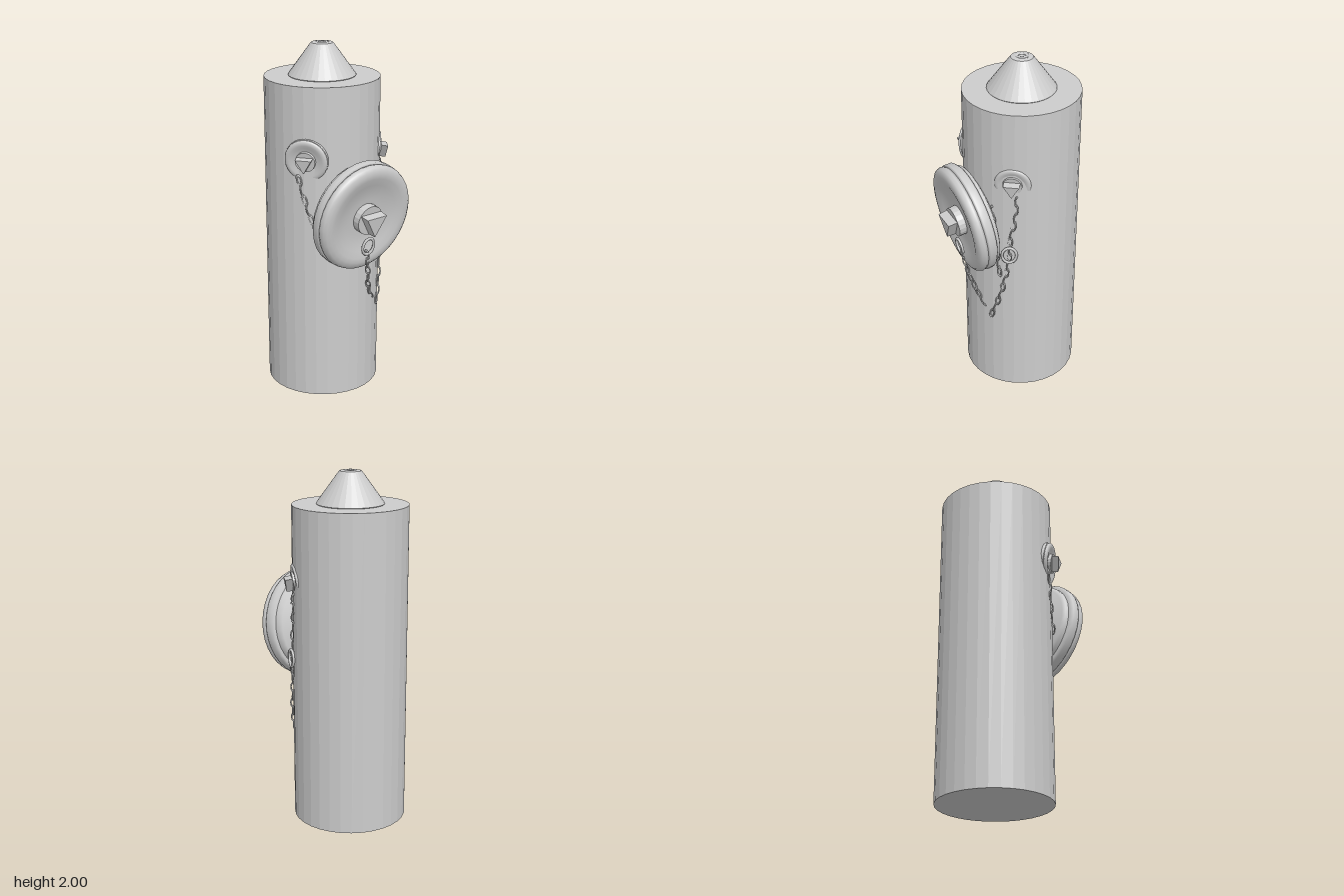
import * as THREE from 'three';

const AXIS_X = 0.01, AXIS_Z = -0.077, RADIUS = 0.323, BODY_TOP = 1.815;
const TILT = 0.15;

const metal = new THREE.MeshStandardMaterial({ color: 0xcccccc });
metal.name = 'light grey metal';

function part(name, geometry, parent) {
  const mesh = new THREE.Mesh(geometry, metal);
  mesh.name = name;
  parent.add(mesh);
  return mesh;
}

// Give every face its own normal
function faceted(geometry) {
  const g = geometry.toNonIndexed();
  g.clearGroups();
  g.computeVertexNormals();
  return g;
}

function lathe(points, sides, scale = 1) {
  return new THREE.LatheGeometry(points.map(([r, h]) => new THREE.Vector2(r * scale, h * scale)), sides);
}

// Outlet cap profiles: back hub, clamping ring and dished cover (radius, depth)
const capProfiles = {
  capHub: [[0.14, -0.18], [0.19, -0.165], [0.265, -0.14], [0.285, -0.13], [0.287, -0.085]],
  capRing: [[0.27, -0.108], [0.3, -0.108], [0.313, -0.095], [0.314, -0.06], [0.308, -0.05], [0.28, -0.05]],
  capCover: [[0.28, -0.052], [0.306, -0.05], [0.311, -0.035], [0.304, -0.015], [0.288, -0.004], [0.265, 0.001],
    [0.24, -0.001], [0.2, -0.012], [0.16, -0.023], [0.11, -0.03], [0.05, -0.031]],
};

function outletCap(name, position, yaw, scale, nutRadius, nutTip, parent) {
  const cap = new THREE.Group();
  cap.name = name;
  cap.position.set(...position);
  cap.rotation.set(TILT, yaw, 0, 'YXZ');
  for (const [label, profile] of Object.entries(capProfiles)) {
    part(label, lathe(profile, 36, scale).rotateX(Math.PI / 2), cap);
  }
  // Round washer with a three-sided nut on it, one corner down
  const base = -0.035 * scale, washerTop = nutTip * 0.2;
  const washer = faceted(new THREE.CylinderGeometry(nutRadius, nutRadius, washerTop - base, 20));
  part('nutWasher', washer.rotateX(Math.PI / 2), cap).position.z = (base + washerTop) / 2;
  const nut = faceted(new THREE.CylinderGeometry(nutRadius * 0.92, nutRadius * 0.97, nutTip - washerTop, 3));
  part('nut', nut.rotateX(Math.PI / 2), cap).position.z = (nutTip + washerTop) / 2;
  parent.add(cap);
}

// Point at a distance from the barrel's axis along a yaw angle
function around(yaw, distance, y) {
  return [AXIS_X + Math.sin(yaw) * distance, y, AXIS_Z + Math.cos(yaw) * distance];
}

// Oval links strung along a curve, each turned a quarter from the last
function chain(name, points, parent) {
  const group = new THREE.Group();
  group.name = name;
  const curve = new THREE.CatmullRomCurve3(points.map((p) => new THREE.Vector3(...p)));
  const count = Math.round(curve.getLength() / 0.055);
  const up = new THREE.Vector3(0, 1, 0);
  for (let i = 0; i <= count; i++) {
    const link = part('chainLink', new THREE.TorusGeometry(0.014, 0.0042, 5, 10).scale(1, 2, 1), group);
    link.position.copy(curve.getPointAt(i / count));
    link.quaternion.setFromUnitVectors(up, curve.getTangentAt(i / count));
    link.rotateY(0.5 + (i % 2) * Math.PI / 2);
  }
  parent.add(group);
}

// Larger ring that holds a chain end
function chainRing(name, position, tilt, yaw, parent) {
  const ring = part(name, new THREE.TorusGeometry(0.04, 0.008, 6, 20).scale(1, 1.2, 1), parent);
  ring.position.set(...position);
  ring.rotation.set(tilt, yaw, 0, 'YXZ');
}

export function createModel() {
  const model = new THREE.Group();
  model.name = 'hydrant';

  // Plain standing barrel
  const barrel = faceted(new THREE.CylinderGeometry(RADIUS, RADIUS, BODY_TOP, 32));
  part('barrel', barrel, model).position.set(AXIS_X, BODY_TOP / 2, AXIS_Z);

  // Conical top with small concentric steps around a centre button
  const cone = faceted(lathe(
    [[0.185, 0], [0.189, 0.004], [0.186, 0.009], [0.066, 0.174], [0.061, 0.18], [0.04, 0.184]], 32));
  part('topCone', cone, model).position.set(AXIS_X, BODY_TOP, AXIS_Z);
  const steps = lathe(
    [[0.04, 0.184], [0.034, 0.185], [0.028, 0.179], [0.023, 0.179], [0.019, 0.185], [0.012, 0.185], [0.009, 0.18]], 20);
  part('topSteps', steps, model).position.set(AXIS_X, BODY_TOP, AXIS_Z);
  const button = faceted(new THREE.CylinderGeometry(0.01, 0.01, 0.02, 12));
  part('topButton', button, model).position.set(AXIS_X, BODY_TOP + 0.171, AXIS_Z);

  // Large front outlet and two small side outlets
  const sideYaw = 0.945;
  outletCap('frontOutlet', [AXIS_X, 1.08, 0.332], 0, 1, 0.085, 0.066, model);
  outletCap('leftOutlet', around(sideYaw, 0.316, 1.395), sideYaw, 0.32, 0.054, 0.05, model);
  outletCap('rightOutlet', around(-sideYaw, 0.333, 1.41), -sideYaw, 0.385, 0.056, 0.046, model);

  // Chain hanging from the front cap, then rising along the barrel to the left cap
  chainRing('frontChainRing', [0.022, 0.915, 0.316], TILT, 0, model);
  chain('frontChain', [[0.155, 0.52, 0.205], [0.09, 0.62, 0.245], [0.05, 0.75, 0.283], [0.025, 0.86, 0.3]], model);
  chain('leftChain', [[0.19, 0.51, 0.198], [0.228, 0.65, 0.167], [0.25, 0.8, 0.14], [0.265, 0.95, 0.122],
    [0.267, 1.05, 0.12], [0.28, 1.18, 0.1], [0.284, 1.3, 0.093]], model);
  chainRing('leftChainRing', [0.272, 0.95, 0.13], 0, 1.1, model);

  // Short chains tucked behind the front cap
  chain('innerLeftChain', [[0.226, 0.82, 0.168], [0.21, 1.05, 0.182], [0.195, 1.22, 0.195]], model);
  chain('innerRightChain', [[-0.22, 1.02, 0.15], [-0.255, 1.18, 0.105], [-0.275, 1.3, 0.08]], model);

  return model;
}
